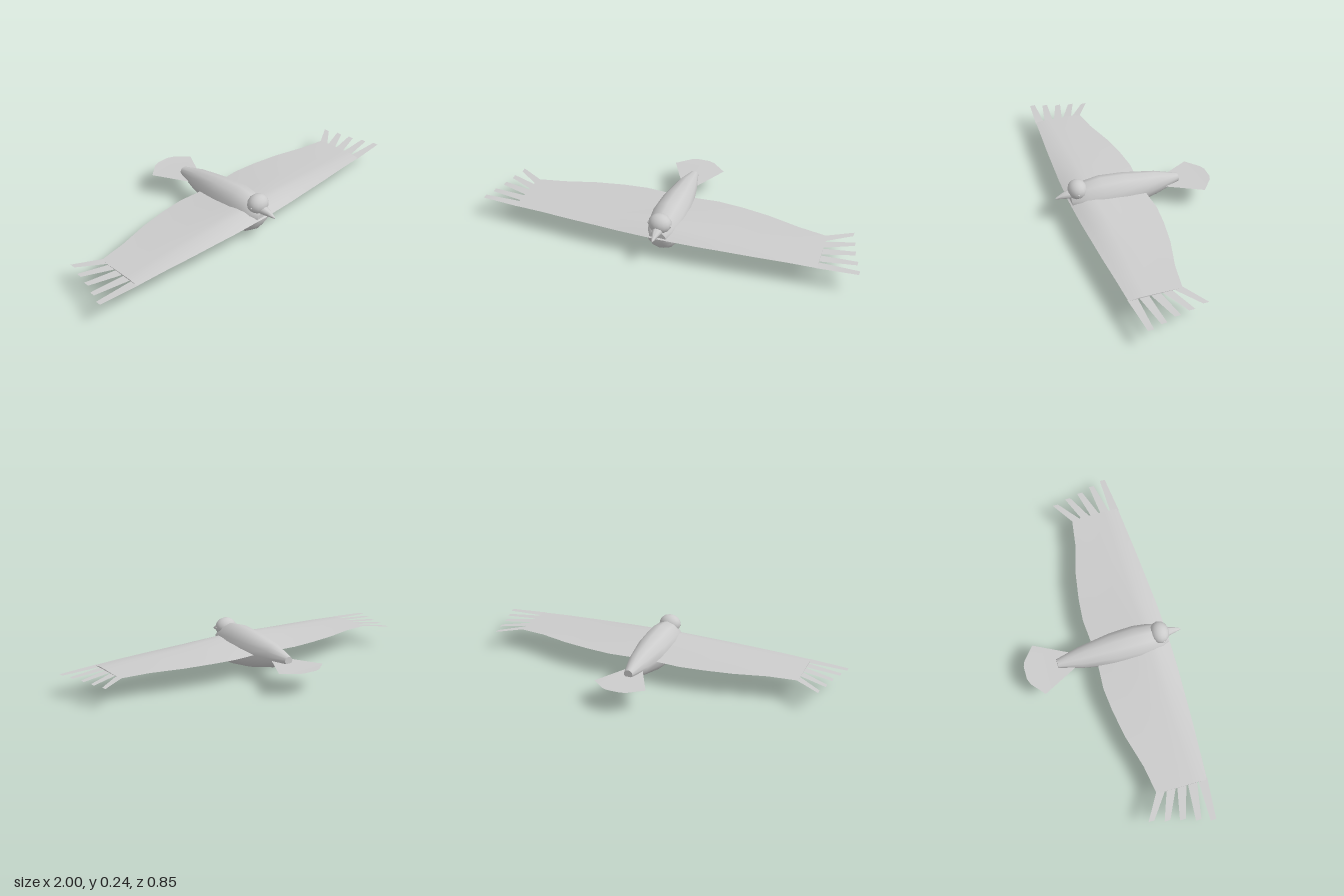
import * as THREE from 'three';
import { toCreasedNormals } from 'three/addons/utils/BufferGeometryUtils.js';

const grey = new THREE.MeshStandardMaterial({ color: 0xcccccc });
const thin = new THREE.MeshStandardMaterial({ color: 0xcccccc, side: THREE.DoubleSide });

function mesh(name, geometry, material = grey) {
  const m = new THREE.Mesh(geometry, material);
  m.name = name;
  return m;
}

// Skin over closed rings (counter-clockwise seen from the end), with both ends capped
function loft(rings, crease = 0.8) {
  const n = rings[0].length;
  const last = rings.length - 1;
  const points = rings.flat();
  const index = [];
  for (let i = 0; i < last; i++) {
    for (let j = 0; j < n; j++) {
      const k = (j + 1) % n;
      const a = i * n + j, b = i * n + k;
      index.push(a, b, a + n, b, b + n, a + n);
    }
  }
  for (const i of [0, last]) {
    const centre = new THREE.Vector3();
    rings[i].forEach((p) => centre.addScaledVector(p, 1 / n));
    const c = points.push(centre) - 1;
    for (let j = 0; j < n; j++) {
      const a = i * n + j, b = i * n + (j + 1) % n;
      if (i === 0) index.push(c, b, a);
      else index.push(c, a, b);
    }
  }
  const g = new THREE.BufferGeometry().setFromPoints(points);
  g.setIndex(index);
  return toCreasedNormals(g, crease);
}

// Elliptical ring given as [z, bottom, top, half width]
function ellipse([z, bottom, top, rx], sides = 12) {
  return Array.from({ length: sides }, (_, i) => {
    const a = (i / sides) * Math.PI * 2;
    return new THREE.Vector3(
      rx * Math.cos(a), (bottom + top) / 2 + ((top - bottom) / 2) * Math.sin(a), z);
  });
}

// Flat outline of [x, z] points laid out horizontally at a height given by y(x, z)
function sheet(outline, y) {
  const shape = new THREE.Shape(outline.map(([x, z]) => new THREE.Vector2(x, -z)));
  const g = new THREE.ShapeGeometry(shape).rotateX(-Math.PI / 2);
  const p = g.attributes.position;
  for (let i = 0; i < p.count; i++) p.setY(i, y(p.getX(i), p.getZ(i)));
  g.computeVertexNormals();
  return g;
}

// Wing stations: [x, leading z, trailing z, top y, edge y]
const STATIONS = [
  [0, 0.357, -0.042, 0.167, 0.128],
  [0.2, 0.352, -0.055, 0.157, 0.128],
  [0.33, 0.345, -0.043, 0.149, 0.128],
  [0.48, 0.337, -0.018, 0.142, 0.127],
  [0.65, 0.325, 0.027, 0.135, 0.126],
  [0.8, 0.315, 0.05, 0.128, 0.122],
];

// Chord fraction from the trailing edge, and fraction of thickness
const AIRFOIL = [
  [0, 0], [0.25, 0.38], [0.5, 0.72], [0.7, 0.98], [0.8, 0.95], [0.92, 0.45],
  [1, 0], [0.7, -0.05], [0.3, -0.05],
];

// Wingtip feathers: [base front z, base back z, tip x, tip front z, tip back z]
const FEATHERS = [
  [0.318, 0.27, 1.0, 0.297, 0.268],
  [0.264, 0.215, 0.98, 0.226, 0.198],
  [0.209, 0.16, 0.957, 0.152, 0.122],
  [0.154, 0.105, 0.942, 0.077, 0.047],
  [0.099, 0.05, 0.922, 0.0, -0.03],
];

function wing(side, name) {
  const group = new THREE.Group();
  group.name = name;
  const rings = STATIONS.map(([x, lead, trail, top, edge]) => AIRFOIL.map(([u, t]) =>
    new THREE.Vector3(side * x, edge + t * (top - edge), trail + u * (lead - trail))));
  if (side < 0) rings.reverse();
  group.add(mesh('wingPanel', loft(rings, 1.0)));

  // Splayed feathers droop a little toward their ends and toward the back
  FEATHERS.forEach(([b0, b1, tip, t0, t1], i) => {
    const outline = [[0.79, b0], [0.79, b1], [tip, t1], [tip, t0]]
      .map(([x, z]) => [side * x, z]);
    const height = (x) => 0.123 - (Math.abs(x) - 0.79) * (0.022 + 0.008 * i);
    group.add(mesh('wingtipFeather' + (i + 1), sheet(outline, height), thin));
  });
  return group;
}

export function createModel() {
  const bird = new THREE.Group();
  bird.name = 'bird';

  // Body, from the narrow rump to the chest
  bird.add(mesh('body', loft([
    [-0.25, 0.115, 0.157, 0.024],
    [-0.125, 0.069, 0.195, 0.056],
    [0.05, 0.025, 0.224, 0.085],
    [0.18, 0.007, 0.235, 0.092],
    [0.26, 0.003, 0.225, 0.084],
    [0.312, 0.043, 0.2, 0.07],
    [0.348, 0.1, 0.165, 0.045],
  ].map((s) => ellipse(s)))));

  // Head
  const head = mesh('head', new THREE.SphereGeometry(1, 14, 10));
  head.scale.set(0.06, 0.051, 0.051);
  head.position.set(0, 0.194, 0.307);
  bird.add(head);

  // Beak, bending down to its tip
  bird.add(mesh('beak', loft([
    [0.33, 0.147, 0.2, 0.03],
    [0.357, 0.152, 0.195, 0.025],
    [0.385, 0.155, 0.187, 0.017],
    [0.41, 0.157, 0.175, 0.009],
    [0.425, 0.159, 0.166, 0.003],
  ].map((s) => ellipse(s, 10)))));

  for (const side of [1, -1]) {
    const eye = mesh(side > 0 ? 'leftEye' : 'rightEye', new THREE.SphereGeometry(0.006, 8, 6));
    eye.position.set(side * 0.056, 0.193, 0.316);
    bird.add(eye, wing(side, side > 0 ? 'leftWing' : 'rightWing'));
  }

  // Tail fan
  const half = [[0.02, -0.12], [0.14, -0.35], [0.107, -0.378], [0.065, -0.413], [0.035, -0.424]];
  const fan = [...half, ...half.map(([x, z]) => [-x, z]).reverse()];
  bird.add(mesh('tail', sheet(fan, (x) => 0.123 - 0.025 * Math.abs(x)), thin));

  return bird;
}
